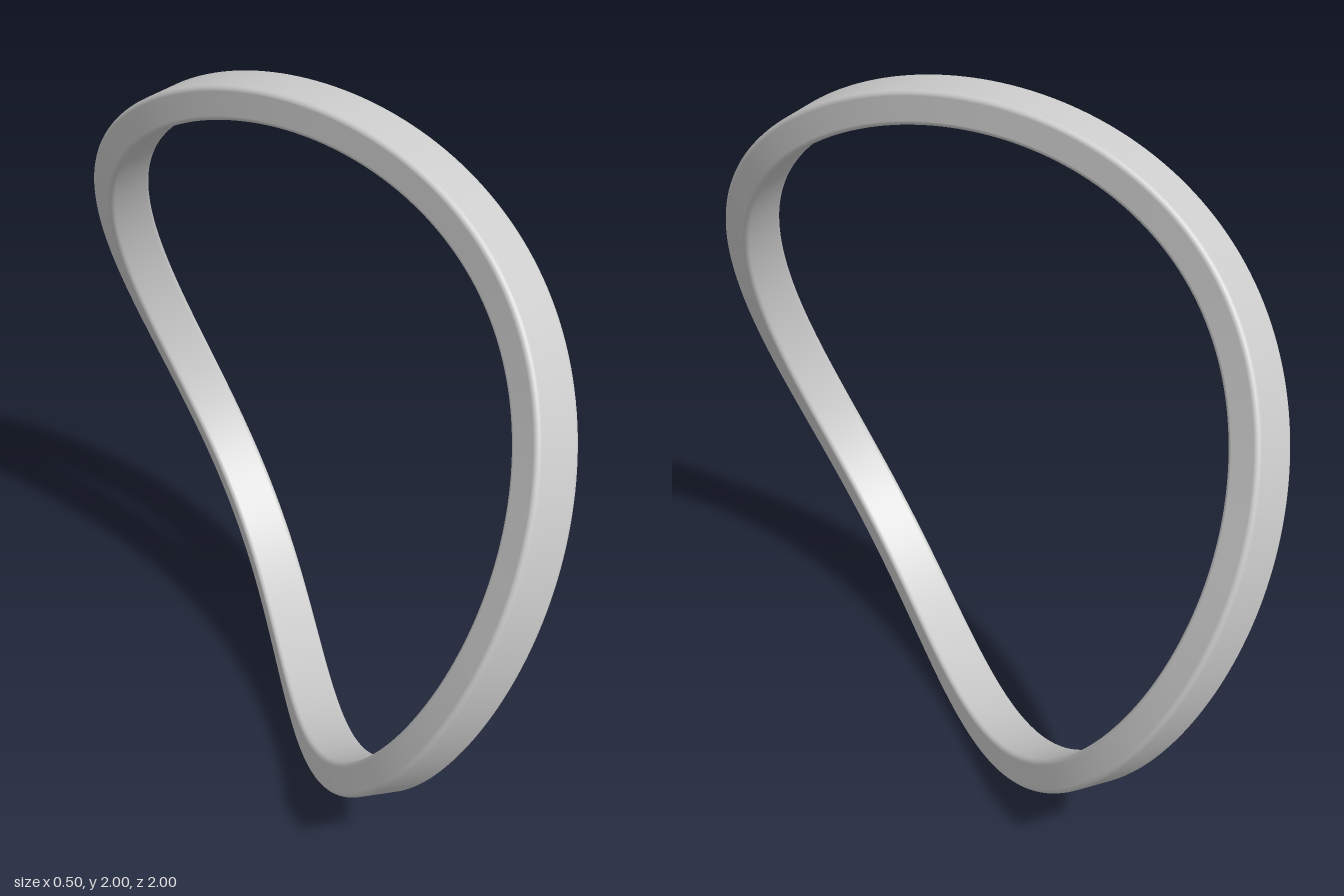
import * as THREE from 'three';

const RADIUS = 0.953, SWAY = 0.175;    // ring radius and sideways wave
const HALF_W = 0.07, HALF_T = 0.047;   // half width and half thickness of the band
const FILLET = 0.014, STEPS = 240, ARC = 5;

// Centre line: a circle in the yz plane that waves twice along x
function centre(a) {
  const s = Math.sin(2 * a);
  const r = RADIUS - 0.008 * s * s;
  return new THREE.Vector3(SWAY * s, r * Math.sin(a), r * Math.cos(a));
}

// Rounded rectangle: offsets (u, v) with their outward directions (nu, nv)
function section() {
  const pts = [];
  [[1, 1], [-1, 1], [-1, -1], [1, -1]].forEach(([su, sv], q) => {
    for (let k = 0; k <= ARC; k++) {
      const t = (q + k / ARC) * Math.PI / 2;
      const nu = Math.cos(t), nv = Math.sin(t);
      pts.push({
        u: su * (HALF_W - FILLET) + FILLET * nu,
        v: sv * (HALF_T - FILLET) + FILLET * nv,
        nu, nv,
      });
    }
  });
  return pts;
}

function bandGeometry() {
  const profile = section(), n = profile.length;
  const position = [], normal = [], index = [];
  for (let i = 0; i <= STEPS; i++) {
    const a = (i / STEPS) * Math.PI * 2;
    const p = centre(a);
    const T = centre(a + 1e-3).sub(centre(a - 1e-3)).normalize();
    // The band leans outward where it sways to the side
    const N = new THREE.Vector3(p.x * 1.25, p.y, p.z);
    N.addScaledVector(T, -N.dot(T)).normalize();
    const B = new THREE.Vector3().crossVectors(T, N);
    for (const { u, v, nu, nv } of profile) {
      const q = p.clone().addScaledVector(B, u).addScaledVector(N, v);
      const d = B.clone().multiplyScalar(nu).addScaledVector(N, nv);
      position.push(q.x, q.y + 1, q.z);
      normal.push(d.x, d.y, d.z);
    }
  }
  for (let i = 0; i < STEPS; i++) {
    for (let j = 0; j < n; j++) {
      const k = (j + 1) % n;
      const a = i * n + j, b = (i + 1) * n + j, c = i * n + k, d = (i + 1) * n + k;
      index.push(a, b, c, b, d, c);
    }
  }
  const g = new THREE.BufferGeometry();
  g.setAttribute('position', new THREE.Float32BufferAttribute(position, 3));
  g.setAttribute('normal', new THREE.Float32BufferAttribute(normal, 3));
  g.setIndex(index);
  return g;
}

export function createModel() {
  const group = new THREE.Group();
  group.name = 'wavyRing';
  const band = new THREE.Mesh(bandGeometry(), new THREE.MeshStandardMaterial({ color: 0xcccccc }));
  band.name = 'band';
  group.add(band);
  return group;
}
